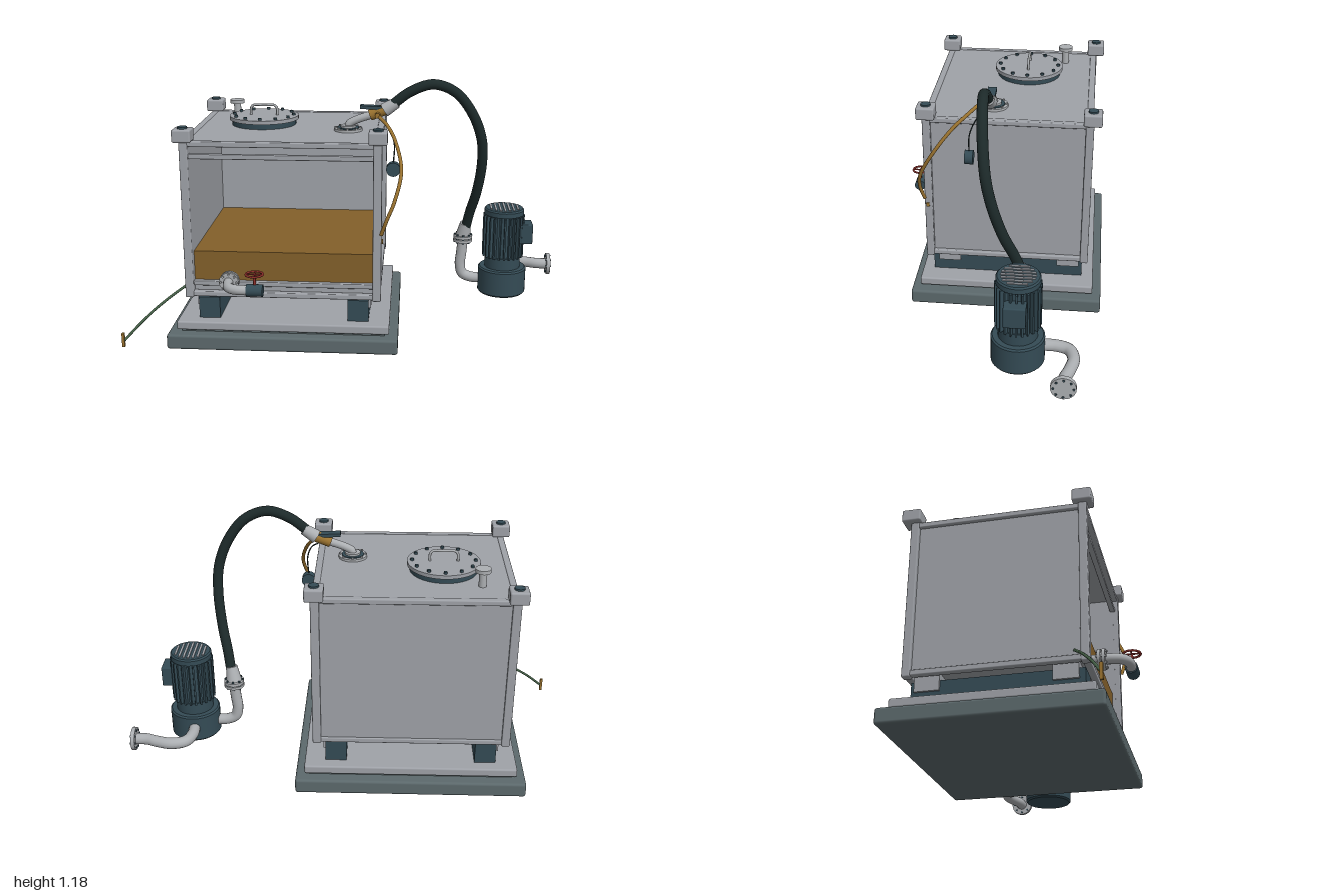
import * as THREE from 'three';
import { RoundedBoxGeometry } from 'three/addons/geometries/RoundedBoxGeometry.js';

const mat = (name, color) => {
  const m = new THREE.MeshStandardMaterial({ color });
  m.name = name;
  return m;
};

export function createModel() {
  const steel = mat('steel', 0x9fa2a8);
  const pipe = mat('pipe steel', 0xacafb2);
  const teal = mat('dark teal', 0x344b55);
  const stone = mat('base grey', 0x5c696c);
  const liquidMat = mat('amber liquid', 0x83602a);
  const rubber = mat('black rubber', 0x1d2a2a);
  const brass = mat('brass', 0x9c7430);
  const red = mat('valve red', 0x8e2f2a);
  const green = mat('cable green', 0x466248);

  const model = new THREE.Group();
  model.name = 'tankAndPump';
  const group = (name) => {
    const g = new THREE.Group();
    g.name = name;
    model.add(g);
    return g;
  };
  const add = (parent, name, geo, m, x = 0, y = 0, z = 0) => {
    const mesh = new THREE.Mesh(geo, m);
    mesh.name = name;
    mesh.position.set(x, y, z);
    parent.add(mesh);
    return mesh;
  };
  // Box given by its extents, optionally with rounded edges
  const box = (parent, name, m, [x0, x1], [y0, y1], [z0, z1], r = 0) => {
    const s = [x1 - x0, y1 - y0, z1 - z0];
    const geo = r ? new RoundedBoxGeometry(...s, 2, r) : new THREE.BoxGeometry(...s);
    return add(parent, name, geo, m, (x0 + x1) / 2, (y0 + y1) / 2, (z0 + z1) / 2);
  };
  // Cylinder running from point a to point b
  const rod = (parent, name, m, a, b, r0, r1 = r0, sides = 28) => {
    const p = new THREE.Vector3(...a), q = new THREE.Vector3(...b);
    const d = q.clone().sub(p);
    const mesh = add(parent, name, new THREE.CylinderGeometry(r1, r0, d.length(), sides), m);
    mesh.position.copy(p).add(q).multiplyScalar(0.5);
    mesh.quaternion.setFromUnitVectors(new THREE.Vector3(0, 1, 0), d.normalize());
    return mesh;
  };
  const tube = (parent, name, m, pts, r, sides = 14) => {
    const curve = new THREE.CatmullRomCurve3(pts.map((p) => new THREE.Vector3(...p)));
    return add(parent, name, new THREE.TubeGeometry(curve, 64, r, sides), m);
  };
  // Ring of short bolts, laid out in the plane across axis 'x', 'y' or 'z'
  const bolts = (parent, m, [x, y, z], axis, n, ring, r, len) => {
    for (let i = 0; i < n; i++) {
      const u = ring * Math.cos((i / n) * Math.PI * 2), v = ring * Math.sin((i / n) * Math.PI * 2);
      const c = { x: [x, y + u, z + v], y: [x + u, y, z + v], z: [x + u, y + v, z] }[axis];
      const k = 'xyz'.indexOf(axis);
      const a = [...c], b = [...c];
      a[k] -= len / 2;
      b[k] += len / 2;
      rod(parent, 'bolt', m, a, b, r, r, 8);
    }
  };

  // Plinth and skids
  const base = group('base');
  box(base, 'plinth', stone, [-0.8, 0.24], [0, 0.07], [-0.495, 0.405], 0.012);
  box(base, 'plinthSpacer', stone, [-0.74, 0.18], [0.06, 0.082], [-0.44, 0.35]);
  box(base, 'upperPlate', steel, [-0.76, 0.2], [0.08, 0.12], [-0.455, 0.365], 0.008);
  for (const x of [-0.665, 0.01]) box(base, 'skid', teal, [x, x + 0.095], [0.12, 0.22], [-0.4, 0.31]);
  for (const x of [-0.675, 0.015])
    for (const z of [-0.385, 0.18]) box(base, 'foot', steel, [x, x + 0.1], [0.175, 0.25], [z, z + 0.105]);

  // Tank: closed on three sides, open at the front
  const tank = group('tank');
  box(tank, 'leftWall', steel, [0.122, 0.14], [0.25, 0.93], [-0.41, 0.31]);
  box(tank, 'rightWall', steel, [-0.7, -0.682], [0.25, 0.93], [-0.41, 0.31]);
  box(tank, 'backWall', steel, [-0.69, 0.13], [0.25, 0.93], [-0.415, -0.397]);
  box(tank, 'floor', steel, [-0.69, 0.13], [0.25, 0.285], [-0.41, 0.3]);
  box(tank, 'roof', steel, [-0.7, 0.14], [0.925, 0.942], [-0.41, 0.32]);
  box(tank, 'liquid', liquidMat, [-0.682, 0.122], [0.285, 0.435], [-0.397, 0.295]);
  for (const x of [-0.701, 0.142])
    for (const z of [-0.408, 0.317])
      box(tank, 'post', steel, [x - 0.019, x + 0.019], [0.225, 0.96], [z - 0.018, z + 0.018], 0.006);
  for (const x of [-0.703, 0.143])
    for (const z of [-0.42, 0.317]) {
      box(tank, 'cornerBlock', steel, [x - 0.041, x + 0.041], [0.943, 1.0], [z - 0.041, z + 0.041], 0.008);
      rod(tank, 'cornerPlug', teal, [x, 0.99, z], [x, 1.008, z], 0.022, 0.022, 16);
    }
  for (const y of [0.243, 0.933]) {
    for (const x of [-0.701, 0.142])
      box(tank, 'sideRail', steel, [x - 0.015, x + 0.015], [y - 0.012, y + 0.012], [-0.4, 0.31], 0.005);
    for (const z of [-0.408, 0.317])
      box(tank, 'crossRail', steel, [-0.69, 0.13], [y - 0.012, y + 0.012], [z - 0.015, z + 0.015], 0.005);
  }
  for (const y of [0.29, 0.875])
    box(tank, 'frontRail', steel, [-0.69, 0.13], [y - 0.011, y + 0.011], [0.295, 0.32], 0.004);

  // Bolted lid with handle
  const lid = group('lid');
  const [lx, lz] = [-0.41, -0.1];
  rod(lid, 'lidCollar', teal, [lx, 0.94, lz], [lx, 0.968, lz], 0.15, 0.15, 48);
  rod(lid, 'lidPlate', steel, [lx, 0.967, lz], [lx, 0.984, lz], 0.162, 0.162, 48);
  bolts(lid, teal, [lx, 0.987, lz], 'y', 12, 0.14, 0.008, 0.014);
  tube(lid, 'lidHandle', pipe, [[lx - 0.062, 0.98, lz], [lx - 0.061, 1.015, lz], [lx - 0.05, 1.029, lz],
    [lx, 1.03, lz], [lx + 0.05, 1.029, lz], [lx + 0.061, 1.015, lz], [lx + 0.062, 0.98, lz]], 0.006, 8);

  // Vent stack
  const vent = group('vent');
  rod(vent, 'ventStem', pipe, [-0.567, 0.94, -0.27], [-0.567, 1.01, -0.27], 0.017);
  rod(vent, 'ventCap', pipe, [-0.567, 1.008, -0.27], [-0.567, 1.025, -0.27], 0.034);

  // Suction fitting on the roof
  const fit = group('suctionFitting');
  rod(fit, 'fittingFlange', pipe, [-0.005, 0.942, 0.03], [-0.005, 0.953, 0.03], 0.065);
  rod(fit, 'fittingInset', teal, [-0.005, 0.95, 0.03], [-0.005, 0.957, 0.03], 0.05);
  rod(fit, 'fittingNeck', pipe, [-0.005, 0.952, 0.03], [-0.005, 0.966, 0.03], 0.035);
  bolts(fit, pipe, [-0.005, 0.955, 0.03], 'y', 8, 0.057, 0.005, 0.01);
  rod(fit, 'dipStub', pipe, [-0.005, 0.9, 0.03], [-0.005, 0.945, 0.03], 0.014);
  tube(fit, 'fittingElbow', pipe, [[-0.005, 0.95, 0.03], [0, 0.972, 0.03], [0.03, 0.99, 0.03], [0.11, 1.018, 0.03]], 0.018);
  rod(fit, 'couplerBody', brass, [0.095, 1.013, 0.03], [0.165, 1.04, 0.03], 0.025);
  rod(fit, 'couplerCone', pipe, [0.16, 1.037, 0.03], [0.215, 1.072, 0.03], 0.032, 0.025);
  const lever = box(fit, 'couplerLever', teal, [0.05, 0.17], [1.042, 1.057], [0.01, 0.05]);
  lever.rotation.z = -0.04;
  rod(fit, 'sampleTap', brass, [0.13, 1.02, 0.03], [0.13, 1.02, 0.085], 0.012, 0.012, 12);

  // Main hose to the pump
  tube(group('hose'), 'mainHose', rubber, [[0.195, 1.062, 0.032], [0.28, 1.125, 0.035], [0.38, 1.157, 0.033],
    [0.48, 1.12, 0.025], [0.56, 1.02, 0.015], [0.605, 0.9, 0], [0.612, 0.78, -0.025],
    [0.595, 0.63, -0.07], [0.57, 0.52, -0.115], [0.553, 0.42, -0.15]], 0.023, 18);

  // Pump with finned motor
  const pump = group('pump');
  const [px, pz] = [0.737, -0.147];
  const profile = [[0, 0.112], [0.108, 0.112], [0.115, 0.12], [0.115, 0.235], [0.108, 0.242], [0.085, 0.242],
    [0.085, 0.3], [0.08, 0.3], [0.08, 0.507], [0.094, 0.507], [0.094, 0.53], [0.088, 0.537], [0, 0.537]];
  // Split the profile into straight bands so the edges stay sharp
  for (let i = 0; i < profile.length - 1; i++) {
    const band = [profile[i], profile[i + 1]].map((p) => new THREE.Vector2(...p));
    add(pump, 'motorBody', new THREE.LatheGeometry(band, 40), teal, px, 0, pz);
  }
  for (let i = 0; i < 24; i++) {
    const a = (i / 24) * Math.PI * 2;
    const fin = add(pump, 'motorFin', new THREE.BoxGeometry(0.024, 0.205, 0.008), teal,
      px + 0.087 * Math.cos(a), 0.4, pz + 0.087 * Math.sin(a));
    fin.rotation.y = -a;
  }
  for (let i = -3; i <= 3; i++) {
    const x = px + i * 0.021, h = Math.sqrt(0.08 ** 2 - (i * 0.021) ** 2) - 0.006;
    box(pump, 'grilleBar', steel, [x - 0.005, x + 0.005], [0.536, 0.541], [pz - h, pz + h]);
  }
  box(pump, 'terminalBox', teal, [0.81, 0.873], [0.368, 0.465], [-0.188, -0.095], 0.006);

  // Pump inlet
  const inlet = group('pumpInlet');
  const [ix, iz] = [0.543, -0.157];
  rod(inlet, 'hoseCone', pipe, [ix, 0.385, iz], [0.553, 0.455, -0.142], 0.036, 0.026);
  for (const y of [0.36, 0.378]) rod(inlet, 'inletFlange', pipe, [ix, y, iz], [ix, y + 0.013, iz], 0.046);
  bolts(inlet, teal, [ix, 0.376, iz], 'y', 8, 0.039, 0.005, 0.044);
  tube(inlet, 'inletPipe', pipe, [[ix, 0.365, iz], [0.538, 0.3, iz], [0.533, 0.24, iz], [0.545, 0.195, iz],
    [0.585, 0.175, iz], [0.65, 0.173, iz]], 0.025);

  // Pump outlet
  const outlet = group('pumpOutlet');
  tube(outlet, 'outletPipe', pipe, [[0.727, 0.183, -0.23], [0.727, 0.183, -0.31], [0.75, 0.183, -0.365],
    [0.81, 0.183, -0.385], [0.88, 0.183, -0.37], [0.93, 0.183, -0.353], [0.99, 0.183, -0.35]], 0.026);
  rod(outlet, 'outletFlange', pipe, [0.978, 0.183, -0.35], [0.996, 0.183, -0.35], 0.053);
  bolts(outlet, teal, [0.987, 0.183, -0.35], 'x', 8, 0.042, 0.005, 0.026);

  // Drain valve at the front
  const drain = group('drainValve');
  const [dx, dy] = [-0.515, 0.315];
  for (const z of [0.335, 0.354]) rod(drain, 'drainFlange', pipe, [dx, dy, z], [dx, dy, z + 0.013], 0.044);
  bolts(drain, pipe, [dx, dy, 0.351], 'z', 8, 0.036, 0.005, 0.044);
  tube(drain, 'drainPipe', pipe, [[dx, dy, 0.29], [dx, dy, 0.39], [dx + 0.015, dy, 0.435], [dx + 0.05, dy, 0.453],
    [dx + 0.13, dy, 0.455]], 0.022);
  rod(drain, 'valveBody', teal, [-0.42, dy, 0.455], [-0.348, dy, 0.455], 0.027);
  rod(drain, 'valveStem', red, [-0.384, dy, 0.455], [-0.384, 0.392, 0.455], 0.006, 0.006, 10);
  const wheel = add(drain, 'handWheel', new THREE.TorusGeometry(0.037, 0.005, 8, 28), red, -0.384, 0.389, 0.455);
  wheel.rotation.x = Math.PI / 2;
  for (const a of [0, Math.PI / 2]) {
    const [c, s] = [0.037 * Math.cos(a), 0.037 * Math.sin(a)];
    rod(drain, 'wheelSpoke', red, [-0.384 - c, 0.389, 0.455 - s], [-0.384 + c, 0.389, 0.455 + s], 0.004, 0.004, 8);
  }

  // Thin sample line with its bracket
  const line = group('sampleLine');
  tube(line, 'sampleHose', brass, [[0.13, 1.02, 0.07], [0.175, 0.985, 0.12], [0.215, 0.925, 0.19],
    [0.243, 0.815, 0.275], [0.215, 0.69, 0.34], [0.185, 0.615, 0.35], [0.16, 0.54, 0.335]], 0.008, 10);
  box(line, 'lineBracket', brass, [0.155, 0.167], [0.497, 0.516], [0.313, 0.328]);

  // Plug hanging on a wire
  const plug = group('hangingPlug');
  tube(plug, 'plugWire', rubber, [[0.15, 1.0, 0.045], [0.185, 0.965, 0.085], [0.208, 0.9, 0.115], [0.205, 0.81, 0.12]], 0.003, 6);
  rod(plug, 'plugBody', teal, [0.205, 0.785, 0.1], [0.205, 0.785, 0.138], 0.032, 0.032, 20);

  // Earthing cable with clamp
  const earth = group('earthCable');
  tube(earth, 'cable', green, [[-0.71, 0.275, 0.275], [-0.8, 0.215, 0.32], [-0.9, 0.135, 0.372], [-0.99, 0.045, 0.422]], 0.006, 8);
  box(earth, 'cableClamp', brass, [-1, -0.988], [0.015, 0.08], [0.415, 0.428]);

  return model;
}
